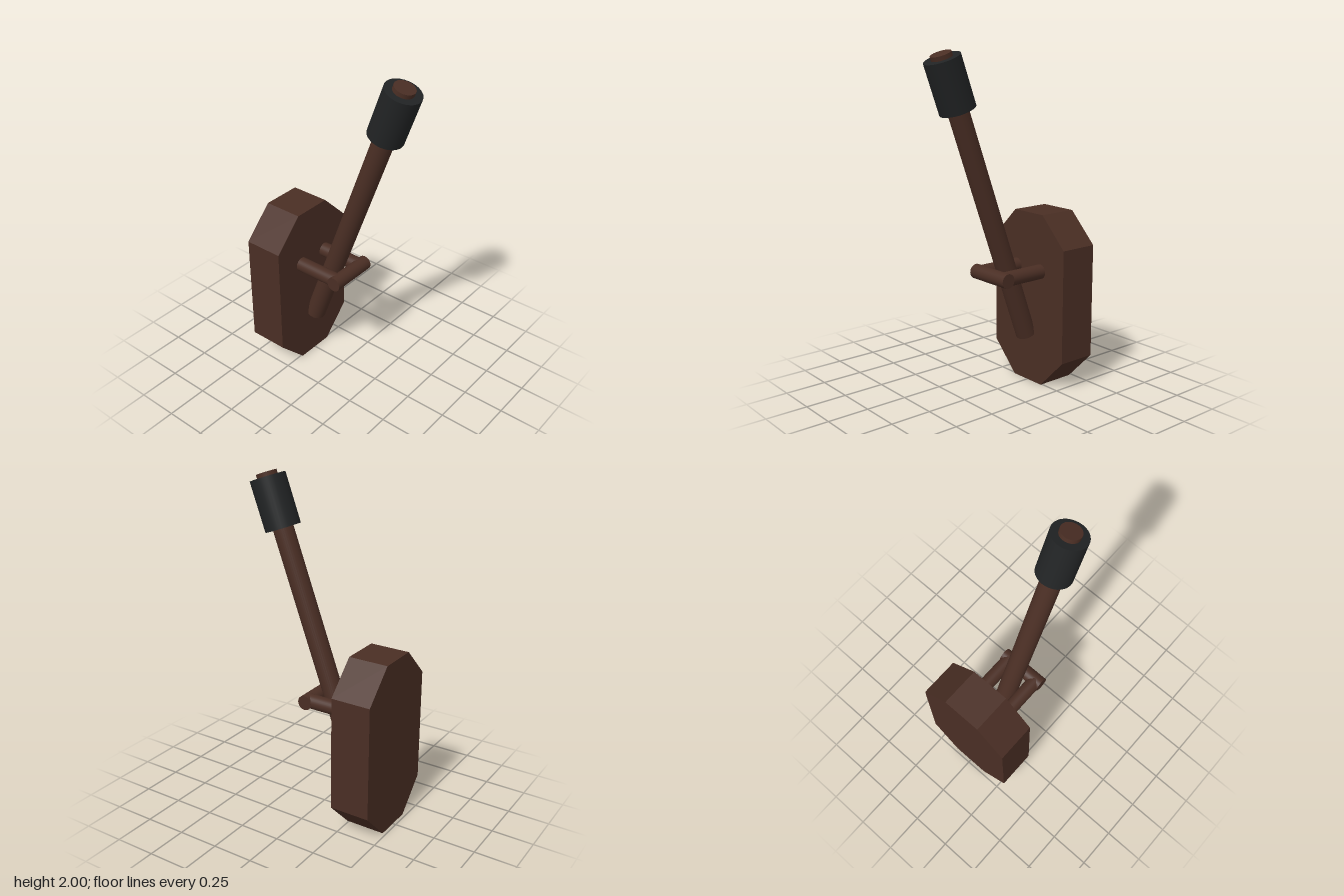
import * as THREE from 'three';

export function createModel() {
  const model = new THREE.Group();
  const wood = new THREE.MeshStandardMaterial({ color: 0x4a2e24 });
  wood.name = 'dark wood';
  const black = new THREE.MeshStandardMaterial({ color: 0x212324 });
  black.name = 'black grip';

  // Round bar between two points
  function bar(name, from, to, radius, material) {
    const a = new THREE.Vector3(...from), b = new THREE.Vector3(...to);
    const dir = b.clone().sub(a);
    const mesh = new THREE.Mesh(new THREE.CylinderGeometry(radius, radius, dir.length(), 32), material);
    mesh.name = name;
    mesh.position.copy(a).add(b).multiplyScalar(0.5);
    mesh.quaternion.setFromUnitVectors(new THREE.Vector3(0, 1, 0), dir.normalize());
    model.add(mesh);
  }

  // Eight-sided wall plate
  const outline = [[-0.12, 0], [0.12, 0], [0.3, 0.185], [0.3, 0.868], [0.12, 1.05],
    [-0.12, 1.05], [-0.3, 0.868], [-0.3, 0.185]];
  const shape = new THREE.Shape(outline.map(([x, y]) => new THREE.Vector2(x, y)));
  const plateGeometry = new THREE.ExtrudeGeometry(shape, { depth: 0.24, bevelEnabled: false });
  plateGeometry.rotateY(Math.PI / 2);
  const plate = new THREE.Mesh(plateGeometry, wood);
  plate.name = 'wallPlate';
  plate.position.x = -0.48;
  model.add(plate);

  // Tilted shaft with a grip near its top
  const tilt = THREE.MathUtils.degToRad(20);
  const along = (d) => [-0.223 + d * Math.sin(tilt), 0.3 + d * Math.cos(tilt), 0];
  bar('shaft', along(0), along(1.785), 0.06, wood);
  bar('grip', along(1.465), along(1.76), 0.104, black);

  // Bracket: two side arms joined by a crossbar
  for (const side of [-1, 1]) {
    bar(side > 0 ? 'frontArm' : 'backArm', [-0.26, 0.708, side * 0.104], [0.042, 0.708, side * 0.104], 0.0435, wood);
  }
  bar('crossbar', [0.042, 0.708, -0.148], [0.042, 0.708, 0.148], 0.0437, wood);

  return model;
}
